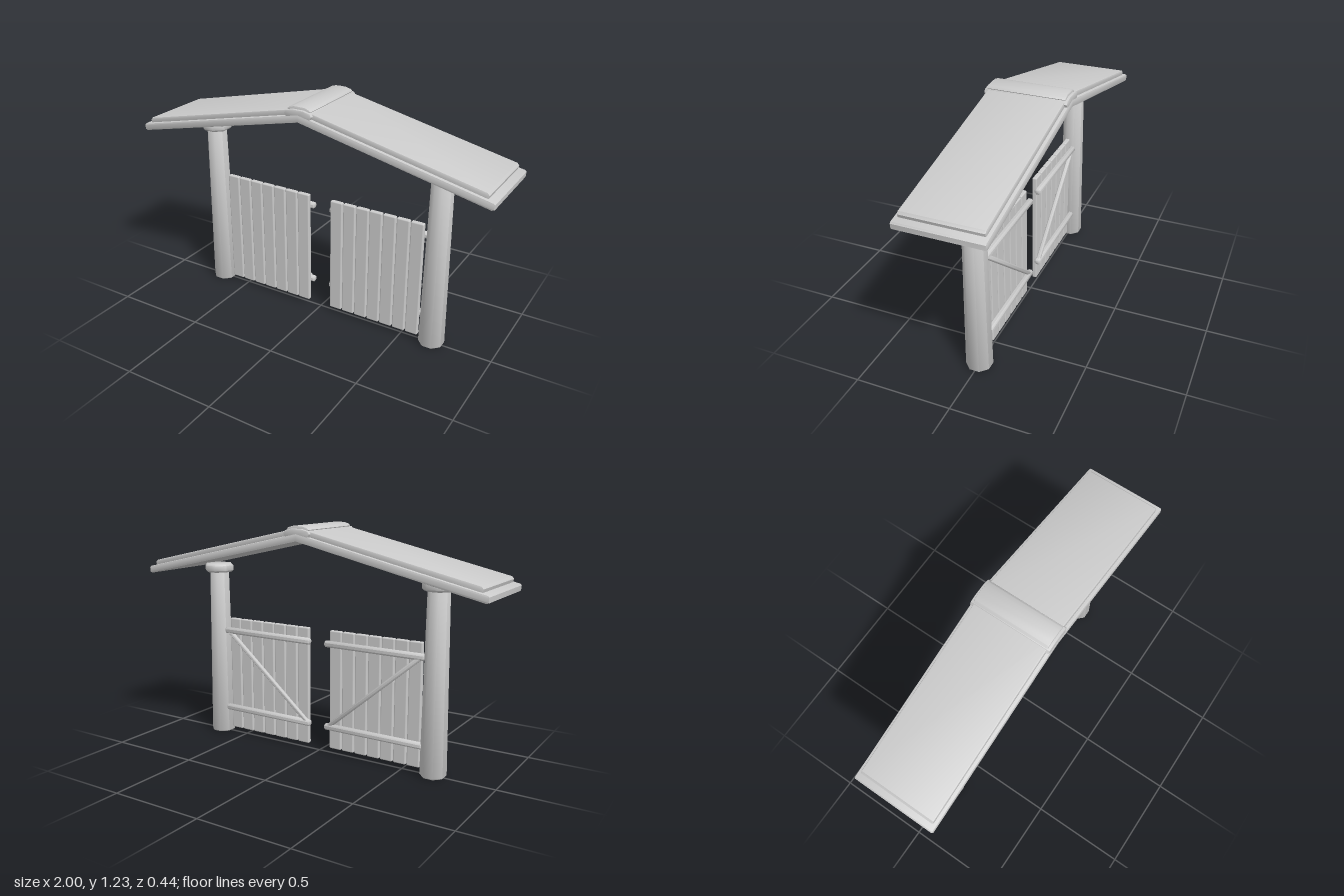
import * as THREE from 'three';
import { toCreasedNormals } from 'three/addons/utils/BufferGeometryUtils.js';
import { RoundedBoxGeometry } from 'three/addons/geometries/RoundedBoxGeometry.js';

const material = new THREE.MeshStandardMaterial({ color: 0xcccccc });

function add(parent, name, geometry, x = 0, y = 0, z = 0) {
  const mesh = new THREE.Mesh(geometry, material);
  mesh.name = name;
  mesh.position.set(x, y, z);
  parent.add(mesh);
  return mesh;
}

// Eight-sided turned solid with chamfered rims, flats facing the axes
function turned(rBottom, rTop, height, chamfer) {
  const profile = [
    [0, 0], [rBottom - chamfer, 0], [rBottom, chamfer],
    [rTop, height - chamfer], [rTop - chamfer, height], [0, height],
  ].map(([r, y]) => new THREE.Vector2(r, y));
  return toCreasedNormals(new THREE.LatheGeometry(profile, 8, Math.PI / 8), 0.85);
}

// Round bar from point a to point b
function bar(parent, name, a, b, radius) {
  const dir = b.clone().sub(a);
  const mesh = add(parent, name, turned(radius, radius, dir.length(), radius * 0.25), a.x, a.y, a.z);
  mesh.quaternion.setFromUnitVectors(new THREE.Vector3(0, 1, 0), dir.normalize());
}

// Symmetric bent sheet: half outline (x >= 0) mirrored, extruded along z with a bevel
function bentSheet(half, depth, bevel) {
  const mirrored = half.filter(([x]) => x > 0).reverse().map(([x, y]) => [-x, y]);
  const shape = new THREE.Shape([...half, ...mirrored].map(([x, y]) => new THREE.Vector2(x, y)));
  const geometry = new THREE.ExtrudeGeometry(shape, {
    depth: depth - 2 * bevel, bevelEnabled: true, bevelSize: bevel,
    bevelThickness: bevel, bevelOffset: -bevel, bevelSegments: 2,
  });
  geometry.translate(0, 0, -depth / 2 + bevel);
  return toCreasedNormals(geometry, 0.5);
}

function gateLeaf(side) {
  const leaf = new THREE.Group();
  leaf.name = side > 0 ? 'leftGate' : 'rightGate';
  const plank = new RoundedBoxGeometry(0.071, 0.65, 0.026, 2, 0.007);
  for (let i = 0; i < 7; i++) add(leaf, 'plank', plank, side * (0.102 + i * 0.0767), 0.35, 0.006);
  const point = (x, y) => new THREE.Vector3(side * x, y, -0.018);
  for (const y of [0.15, 0.605]) bar(leaf, 'rail', point(0.048, y), point(0.617, y), 0.018);
  bar(leaf, 'brace', point(0.07, 0.155), point(0.595, 0.6), 0.013);
  return leaf;
}

export function createModel() {
  const model = new THREE.Group();
  model.name = 'roofedGate';

  // Posts with collars, and the two gate leaves
  for (const side of [1, -1]) {
    add(model, 'post', turned(0.068, 0.055, 0.95, 0.006), side * 0.673, 0, 0);
    add(model, 'postCap', turned(0.082, 0.082, 0.047, 0.01), side * 0.673, 0.935, 0);
    model.add(gateLeaf(side));
  }

  // Roof: wide lower boards, narrower covering layer, two-step ridge cap
  add(model, 'roofBoards', bentSheet(
    [[0, 1.149], [0.985, 0.929], [0.998, 0.934], [1.0, 0.96], [0.994, 0.967], [0, 1.189]], 0.44, 0.007));
  add(model, 'roofCover', bentSheet(
    [[0, 1.18], [0.96, 0.966], [0.967, 0.99], [0.957, 1.002], [0, 1.216]], 0.405, 0.006));
  add(model, 'ridgeBase', bentSheet(
    [[0, 1.176], [0.064, 1.163], [0.078, 1.188], [0.068, 1.203], [0.03, 1.212], [0, 1.212]], 0.436, 0.006));
  add(model, 'ridgeTop', bentSheet(
    [[0, 1.195], [0.055, 1.188], [0.066, 1.208], [0.055, 1.218], [0.03, 1.225], [0, 1.226]], 0.41, 0.005));

  return model;
}
